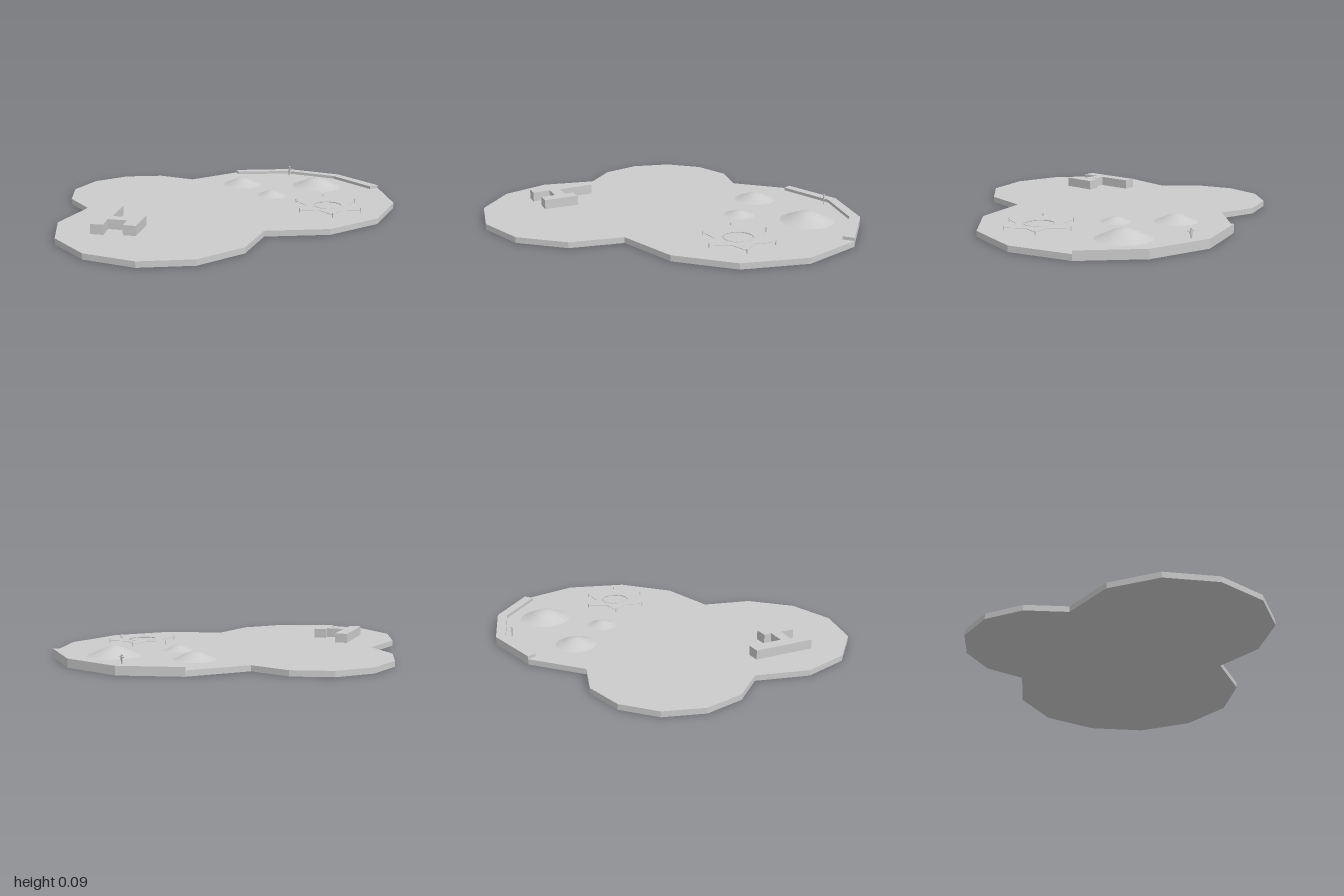
import * as THREE from 'three';

const GROUND = 0.03;

// Flat plan given as [x, z] corners, raised from y0 to y1
function slab(name, plan, y0, y1, material, hole) {
  const shape = new THREE.Shape(plan.map(([x, z]) => new THREE.Vector2(x, -z)));
  if (hole) shape.holes.push(hole);
  const geometry = new THREE.ExtrudeGeometry(shape, { depth: y1 - y0, bevelEnabled: false, curveSegments: 16 });
  geometry.rotateX(-Math.PI / 2).translate(0, y0, 0);
  const mesh = new THREE.Mesh(geometry, material);
  mesh.name = name;
  return mesh;
}

export function createModel() {
  const model = new THREE.Group();
  model.name = 'landscapeBase';
  const flat = new THREE.MeshStandardMaterial({ color: 0xcccccc, flatShading: true });
  const smooth = new THREE.MeshStandardMaterial({ color: 0xcccccc });

  const add = (name, geometry, x, y, z, material = flat, parent = model) => {
    const mesh = new THREE.Mesh(geometry, material);
    mesh.name = name;
    mesh.position.set(x, y, z);
    parent.add(mesh);
    return mesh;
  };

  // Ground plate: three overlapping polygonal lobes
  model.add(slab('groundPlate', [
    [0.21, -1], [0.53, -0.92], [0.76, -0.685], [0.845, -0.36], [0.76, -0.045], [0.53, 0.19],
    [0.615, 0.45], [0.555, 0.72], [0.37, 0.915], [0.11, 0.995], [-0.155, 0.935], [-0.35, 0.755],
    [-0.435, 0.48], [-0.645, 0.415], [-0.795, 0.26], [-0.85, 0.05], [-0.795, -0.155],
    [-0.645, -0.31], [-0.435, -0.365], [-0.345, -0.685], [-0.11, -0.92],
  ], 0, GROUND, flat));

  // Low wall along the back edge
  model.add(slab('backWall', [
    [-0.345, -0.685], [-0.11, -0.92], [0.21, -1], [0.53, -0.92],
    [0.51, -0.865], [0.21, -0.945], [-0.08, -0.875], [-0.305, -0.655],
  ], GROUND, 0.046, flat));

  // Two-winged building with a connecting block
  model.add(slab('building', [
    [-0.246, 0.489], [-0.188, 0.452], [-0.093, 0.616], [-0.008, 0.569], [-0.034, 0.532], [0.024, 0.495],
    [0.114, 0.659], [0.056, 0.69], [0.019, 0.622], [-0.071, 0.669], [-0.018, 0.749], [-0.077, 0.78],
  ], GROUND, 0.081, flat));

  // Softly rounded mounds: [x, z, radius, height]
  for (const [x, z, r, h] of [[0.23, -0.725, 0.142, 0.05], [-0.13, -0.475, 0.113, 0.038], [0.155, -0.38, 0.081, 0.025]]) {
    const profile = [];
    for (let i = 0; i <= 10; i++) {
      const t = 1 - i / 10;
      const bell = (1 + Math.cos(Math.PI * t)) / 2;
      profile.push(new THREE.Vector2(r * t, h * (0.6 * bell + 0.4 * (1 - t * t))));
    }
    add('mound', new THREE.LatheGeometry(profile, 14), x, GROUND, z, smooth);
  }

  // Thin star canopy with a round opening, carried on posts at its tips
  const canopy = new THREE.Group();
  canopy.name = 'starCanopy';
  canopy.position.set(0.54, 0, -0.363);
  model.add(canopy);
  const star = [];
  for (let i = 0; i < 12; i++) {
    const angle = THREE.MathUtils.degToRad(-10.6 + 30 * i);
    const r = i % 2 ? 0.115 : 0.185;
    star.push([r * Math.cos(angle), r * Math.sin(angle)]);
    if (i % 2 === 0) {
      add('canopyPost', new THREE.CylinderGeometry(0.003, 0.003, 0.024, 6),
        r * Math.cos(angle), GROUND + 0.012, r * Math.sin(angle), flat, canopy);
    }
  }
  const opening = new THREE.Path().absarc(0, 0, 0.072, 0, Math.PI * 2, true);
  canopy.add(slab('canopySheet', star, 0.042, 0.044, flat, opening));
  const ring = add('canopyRing', new THREE.TorusGeometry(0.074, 0.003, 6, 24), 0, 0.044, 0, smooth, canopy);
  ring.rotation.x = Math.PI / 2;

  // Small standing figure by the wall
  const figure = new THREE.Group();
  figure.name = 'figure';
  figure.position.set(-0.05, GROUND, -0.846);
  model.add(figure);
  for (const side of [-1, 1]) {
    add('leg', new THREE.BoxGeometry(0.004, 0.026, 0.005), side * 0.004, 0.013, 0, flat, figure);
    add('arm', new THREE.BoxGeometry(0.014, 0.004, 0.004), side * 0.013, 0.041, 0, flat, figure);
  }
  add('torso', new THREE.BoxGeometry(0.013, 0.02, 0.006), 0, 0.035, 0, flat, figure);
  add('head', new THREE.SphereGeometry(0.006, 8, 6), 0, 0.051, 0, smooth, figure);

  return model;
}
